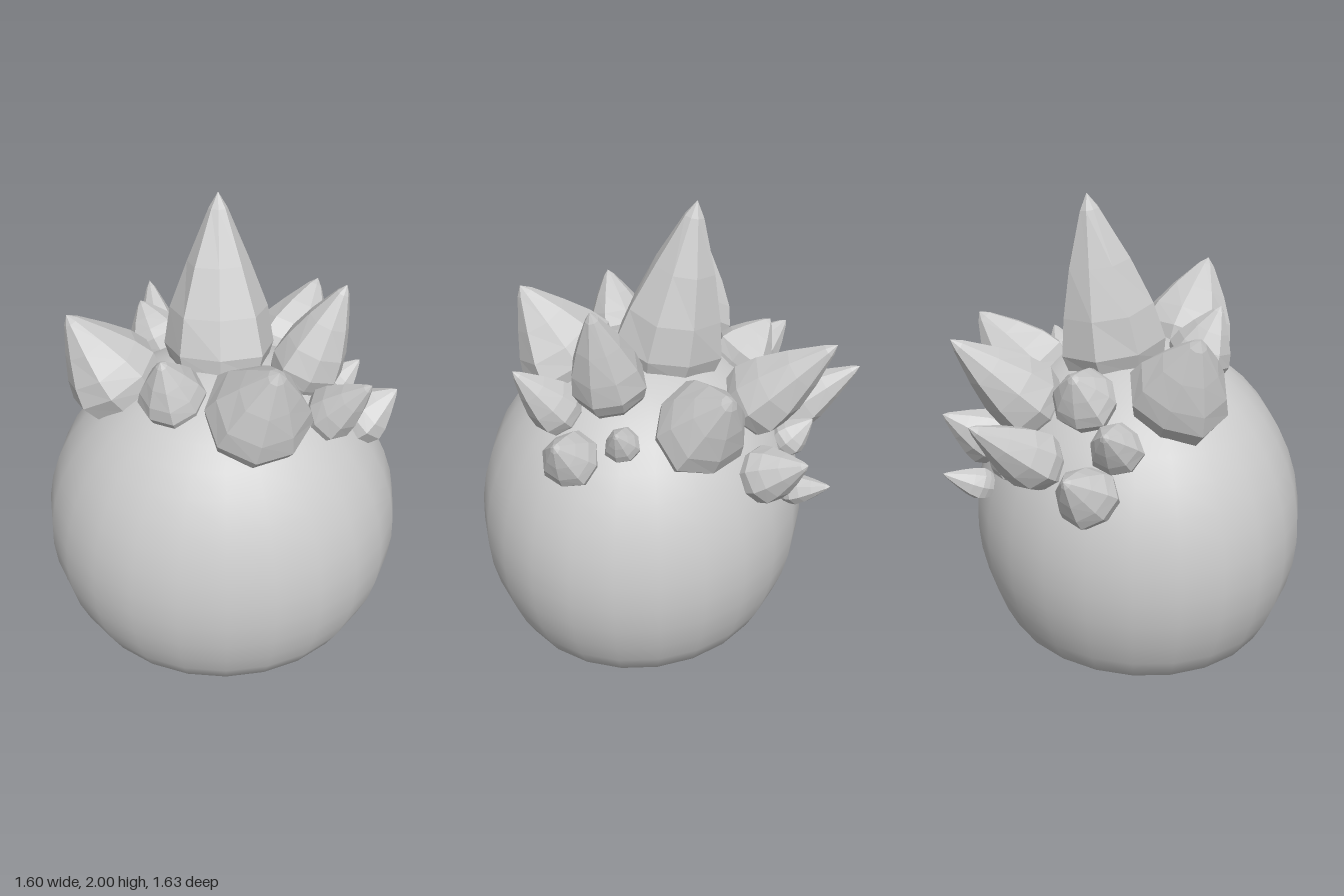
import * as THREE from 'three';

const stone = new THREE.MeshStandardMaterial({ color: 0xcccccc });
const faceted = new THREE.MeshStandardMaterial({ color: 0xcccccc, flatShading: true });

// Egg-like body with a flat, slightly chamfered bottom
function makeBody() {
  const pts = [[0, 0], [0.3, 0], [0.59, 0], [0.665, 0.03]].map(p => new THREE.Vector2(...p));
  for (let i = 0; i <= 14; i++) {
    const a = THREE.MathUtils.lerp(-0.46, Math.PI / 2, i / 14);
    pts.push(new THREE.Vector2(Math.max(0, 0.8 * Math.cos(a)), 0.5 + 0.84 * Math.sin(a)));
  }
  const body = new THREE.Mesh(new THREE.LatheGeometry(pts, 24), stone);
  body.name = 'body';
  body.scale.z = 0.915;
  body.position.z = 0.08;
  return body;
}

// Eight-sided crystal: widest ring at `mid`, point at `tip`, narrowing into the body below
function makeCrystal(name, mid, tip, r, seed) {
  const m = new THREE.Vector3(...mid);
  const axis = new THREE.Vector3(...tip).sub(m);
  const len = axis.length();
  const pts = [
    [0, -0.9 * r], [0.66 * r, -0.9 * r], [0.9 * r, -0.4 * r], [r, 0],
    [0.86 * r, 0.25 * len], [0.56 * r, 0.56 * len], [0.17 * r, 0.9 * len], [0, len],
  ].map(p => new THREE.Vector2(...p));
  const geo = new THREE.LatheGeometry(pts, 8);
  // Uneven facets: radius varies around the axis
  const pos = geo.attributes.position;
  for (let i = 0; i < pos.count; i++) {
    const x = pos.getX(i), y = pos.getY(i), z = pos.getZ(i);
    const a = Math.atan2(z, x);
    const k = 1 + 0.05 * Math.sin(3 * a + seed * 1.7) + 0.03 * Math.sin(2 * a + seed + y * 9);
    pos.setXYZ(i, x * k, y, z * k);
  }
  geo.computeVertexNormals();
  const mesh = new THREE.Mesh(geo, faceted);
  mesh.name = name;
  mesh.position.copy(m);
  mesh.quaternion.setFromUnitVectors(new THREE.Vector3(0, 1, 0), axis.normalize());
  return mesh;
}

// name, widest point, tip, radius
const CRYSTALS = [
  ['mainCrystal', [-0.01, 1.36, -0.04], [-0.01, 2.0, -0.16], 0.235],
  ['frontCrystal', [0.13, 1.28, 0.39], [0.2, 1.6, 0.55], 0.22],
  ['smallFrontCrystal', [-0.21, 1.3, 0.28], [-0.25, 1.52, 0.35], 0.14],
  ['rightCrystal', [-0.46, 1.25, 0.04], [-0.645, 1.54, 0.02], 0.21],
  ['leftCrystal', [0.36, 1.33, 0.08], [0.505, 1.7, 0.08], 0.16],
  ['leftFrontCrystal', [0.45, 1.2, 0.28], [0.585, 1.42, 0.39], 0.115],
  ['leftLowCrystal', [0.61, 1.08, 0.14], [0.745, 1.22, 0.14], 0.12],
  ['leftTinyCrystal', [0.52, 1.14, -0.05], [0.61, 1.24, -0.06], 0.075],
  ['leftBackCrystal', [0.32, 1.16, -0.31], [0.46, 1.41, -0.485], 0.2],
  ['backCrystal', [-0.02, 1.16, -0.46], [-0.02, 1.47, -0.77], 0.165],
  ['backRightCrystal', [-0.27, 0.99, -0.53], [-0.335, 1.22, -0.815], 0.13],
  ['backLeftCrystal', [0.2, 0.92, -0.56], [0.24, 1.04, -0.75], 0.125],
  ['backLowCrystal', [0.05, 0.77, -0.66], [0.07, 0.84, -0.815], 0.07],
  ['backTinyCrystal', [-0.1, 0.93, -0.58], [-0.13, 1.03, -0.67], 0.085],
  ['rightBackUpperCrystal', [-0.28, 1.22, -0.3], [-0.36, 1.36, -0.39], 0.14],
  ['rightBackCrystal', [-0.53, 1.1, -0.28], [-0.645, 1.22, -0.39], 0.11],
  ['rightBackLowCrystal', [-0.53, 0.92, -0.41], [-0.63, 1.06, -0.55], 0.13],
];

export function createModel() {
  const model = new THREE.Group();
  model.name = 'crystalBackedBoulder';
  model.add(makeBody());
  const crystals = new THREE.Group();
  crystals.name = 'crystals';
  CRYSTALS.forEach(([name, mid, tip, r], i) => crystals.add(makeCrystal(name, mid, tip, r, i)));
  model.add(crystals);
  return model;
}
